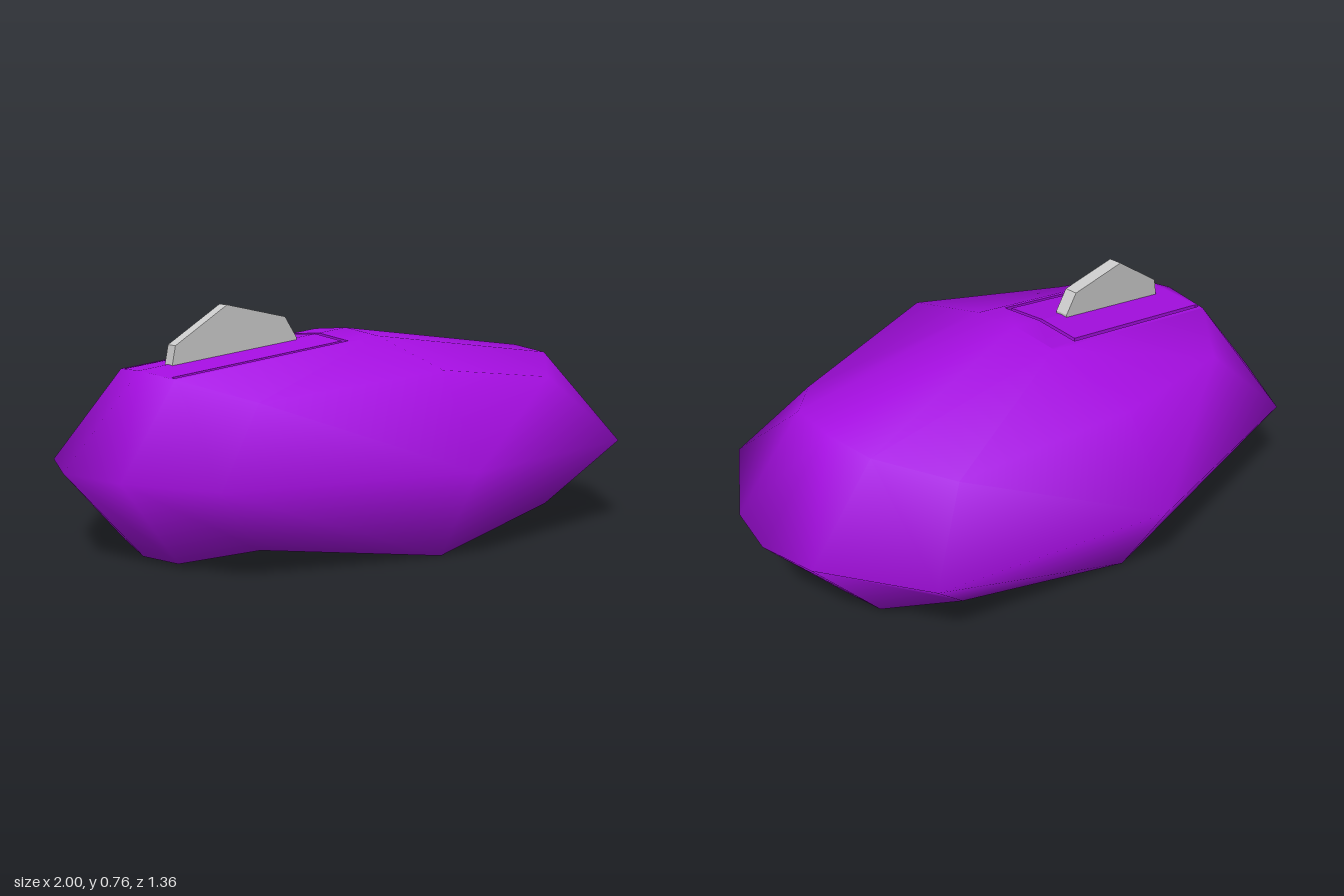
import * as THREE from 'three';
import { mergeVertices } from 'three/addons/utils/BufferGeometryUtils.js';

const purple = new THREE.MeshStandardMaterial({ color: 0xa60ee2, side: THREE.DoubleSide });
const grey = new THREE.MeshStandardMaterial({ color: 0xcccccc });

// Collects quads and turns them into one geometry
function quadSurface() {
  const pos = [];
  return {
    quad(a, b, c, d) {
      for (const p of [a, b, d, b, c, d]) pos.push(...p);
    },
    build(smooth) {
      let g = new THREE.BufferGeometry();
      g.setAttribute('position', new THREE.Float32BufferAttribute(pos, 3));
      if (smooth) g = mergeVertices(g, 1e-4);
      g.computeVertexNormals();
      return g;
    },
  };
}

function addMesh(group, name, geometry, material) {
  const mesh = new THREE.Mesh(geometry, material);
  mesh.name = name;
  group.add(mesh);
}

// Central roof strip: a point on it, and where it ends
const roof = (x, z, drop = 0) => [x, 0.665 - 0.127 * Math.abs(x) - 0.083 * Math.abs(z) - drop, z];
const STRIP = 0.18;
const endX = (z) => 0.75 - 0.14 * Math.abs(z);

// Quarter outlines of the shell, from the end (z = 0) round to the side (x = 0)
const topRing = [roof(endX(0), 0), roof(endX(STRIP), STRIP), [0.56, 0.5, 0.375], [0, 0.57, 0.51]];
const bottomRing = topRing.map(([x, y, z]) => [x, 0.57 - y, z]);
const midRing = (left) => [
  [1, 0.285, 0],
  left ? [0.96, 0.285, 0.19] : [0.93, 0.285, 0.24],
  [0.76, 0.285, 0.51],
  [0, 0.285, 0.68],
];

export function createModel() {
  const model = new THREE.Group();
  const shell = quadSurface();
  const hatch = quadSurface();
  const groove = quadSurface();

  // Shell quarters, open underneath
  for (const sx of [1, -1]) for (const sz of [1, -1]) {
    const face = (...corners) => {
      const [p, q, r, s] = corners.map(([x, y, z]) => [x * sx, y, z * sz]);
      if (sx * sz > 0) shell.quad(p, q, r, s);
      else shell.quad(p, s, r, q);
    };
    const rings = [bottomRing, midRing(sx > 0), topRing];
    for (let k = 0; k < 2; k++) for (let i = 0; i < 3; i++) {
      face(rings[k][i], rings[k + 1][i], rings[k + 1][i + 1], rings[k][i + 1]);
    }
    const [end, endSide, corner, side] = topRing;
    face(endSide, roof(0, STRIP), side, corner);
    if (sx > 0) face(end, roof(0, 0), roof(0, STRIP), endSide);
  }

  // Right roof strip: a grid whose U-shaped row of cells is sunk as the hatch groove
  const xs = [null, -0.72, -0.12, -0.105, 0];
  const zs = [-STRIP, -0.165, -0.15, 0, 0.15, 0.165, STRIP];
  const DEPTH = 0.014;
  const at = (i, j, drop) => roof(i === 0 ? -endX(zs[j]) : xs[i], zs[j], drop);
  const isGroove = (i, j) =>
    (i === 1 && (j === 1 || j === 4)) || (i === 2 && j >= 1 && j <= 4);
  for (let i = 0; i < xs.length - 1; i++) for (let j = 0; j < zs.length - 1; j++) {
    const corners = [[i, j], [i, j + 1], [i + 1, j + 1], [i + 1, j]];
    if (!isGroove(i, j)) {
      const part = i === 1 && (j === 2 || j === 3) ? hatch : shell;
      part.quad(...corners.map((c) => at(...c, 0)));
      continue;
    }
    groove.quad(...corners.map((c) => at(...c, DEPTH)));
    // Walls towards every neighbour that is not sunk
    [[-1, 0], [0, 1], [1, 0], [0, -1]].forEach(([di, dj], k) => {
      if (isGroove(i + di, j + dj)) return;
      const a = corners[k], b = corners[(k + 1) % 4];
      groove.quad(at(...a, 0), at(...b, 0), at(...b, DEPTH), at(...a, DEPTH));
    });
  }
  addMesh(model, 'shell', shell.build(true), purple);
  addMesh(model, 'hatchPanel', hatch.build(false), purple);
  addMesh(model, 'hatchGroove', groove.build(false), purple);

  // Fin standing on the hatch
  const outline = [
    [-0.655, 0.565], [-0.64, 0.64], [-0.46, 0.757], [-0.25, 0.712], [-0.208, 0.645], [-0.208, 0.62],
  ].map(([x, y]) => new THREE.Vector2(x, y));
  const fin = new THREE.ExtrudeGeometry(new THREE.Shape(outline), { depth: 0.048, bevelEnabled: false });
  fin.translate(0, 0, -0.024);
  addMesh(model, 'fin', fin, grey);

  return model;
}
